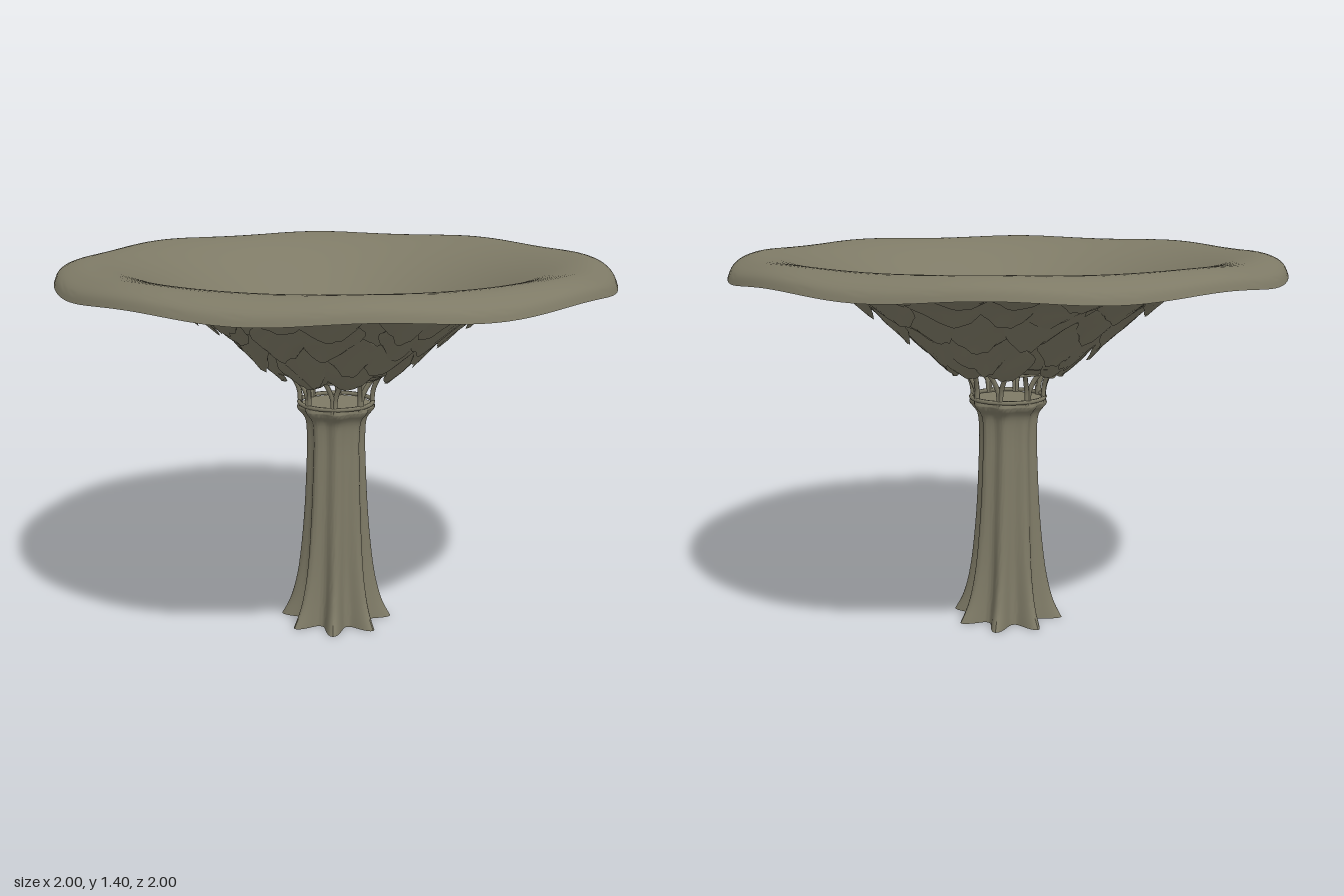
import * as THREE from 'three';
import { mergeGeometries, toCreasedNormals } from 'three/addons/utils/BufferGeometryUtils.js';

const LOBES = 8;
const PHASE = 0.245;
const lobe = (a) => Math.cos(LOBES * (a - PHASE));
const smooth = THREE.MathUtils.smoothstep;

// Small seeded generator
let seed = 7;
const rand = () => {
  seed = (seed * 16807) % 2147483647;
  return seed / 2147483647;
};

const v2 = (pairs) => pairs.map(([x, y]) => new THREE.Vector2(x, y));
const spline = (pairs, n) => new THREE.SplineCurve(v2(pairs)).getPoints(n);

// Lobed towards the middle, gently waving at the rim
function warpBowl(geo) {
  const p = geo.attributes.position;
  for (let i = 0; i < p.count; i++) {
    const x = p.getX(i), z = p.getZ(i), r = Math.hypot(x, z), a = Math.atan2(z, x);
    const k = 1 + 0.07 * lobe(a) * (1 - smooth(r, 0.22, 0.42)) * smooth(r, 0.05, 0.2);
    const wave = 0.009 * Math.sin(LOBES * a + 0.9) * smooth(r, 0.8, 1);
    p.setXYZ(i, x * k, p.getY(i) + wave, z * k);
  }
  return geo;
}

// Height of the underside at radius r
const UNDER = [[0, 0.95], [0.05, 0.95], [0.07, 0.972], [0.19, 0.975], [0.235, 1.0], [0.3, 1.055],
  [0.4, 1.14], [0.5, 1.213], [0.6, 1.28], [0.7, 1.323], [0.8, 1.343], [0.9, 1.34], [1, 1.325]];
function underY(r) {
  for (let i = 1; i < UNDER.length; i++) {
    const [r0, y0] = UNDER[i - 1], [r1, y1] = UNDER[i];
    if (r <= r1) return y0 + (y1 - y0) * (r - r0) / (r1 - r0);
  }
  return 1.325;
}

// One ragged bark scale lying on the underside, lifted at its inner end
function barkScale(r0, a0, halfR, halfA) {
  const geo = new THREE.PlaneGeometry(2, 2, 8, 6);
  const p = geo.attributes.position;
  const jag = Array.from({ length: 9 }, () => 0.25 * rand());
  const skew = (rand() - 0.5) * 0.7, lift = 0.016 + 0.014 * rand();
  for (let i = 0; i < p.count; i++) {
    const u = p.getX(i), v = p.getY(i), col = i % 9;
    const reach = v < 0 ? 1 - 0.45 * u * u + jag[col] : 1 - 0.4 * u * u;
    const w = 1 - 0.3 * v * v + 0.08 * (rand() - 0.5);
    const r = THREE.MathUtils.clamp(r0 + halfR * v * reach, 0.2, 0.96);
    const a = a0 - halfA * (u * w + skew * v);
    const h = (0.004 + lift * (0.5 - 0.5 * v) * (1 - 0.7 * u * u) + 0.004 * rand()) * (1 - 0.7 * smooth(r, 0.72, 0.96));
    const out = 0.5 * h * (1 - smooth(r, 0.5, 0.75));
    p.setXYZ(i, (r + out) * Math.cos(a), underY(r) - h, (r + out) * Math.sin(a));
  }
  geo.computeVertexNormals();
  return geo;
}

export function createModel() {
  const group = new THREE.Group();
  const bark = new THREE.MeshStandardMaterial({ color: 0x7e7a66, side: THREE.DoubleSide });
  bark.name = 'greyOliveBark';
  const add = (name, geo) => {
    const mesh = new THREE.Mesh(geo, bark);
    mesh.name = name;
    group.add(mesh);
    return mesh;
  };

  // Trunk: fluted column whose ribs spread into pointed roots; (valley, height, peak)
  const rows = new THREE.CatmullRomCurve3([
    [0.13, 0, 0.213], [0.125, 0.05, 0.186], [0.12, 0.1, 0.168], [0.112, 0.2, 0.146], [0.104, 0.4, 0.124],
    [0.097, 0.6, 0.113], [0.095, 0.74, 0.11], [0.103, 0.8, 0.117], [0.13, 0.84, 0.146], [0.128, 0.855, 0.143],
  ].map((q) => new THREE.Vector3(...q))).getPoints(36);
  rows.unshift(new THREE.Vector3(0, 0, 0));
  rows.push(new THREE.Vector3(0, 0.855, 0));
  const trunk = new THREE.LatheGeometry(rows.map((q) => new THREE.Vector2(q.x, q.y)), 128);
  const tp = trunk.attributes.position;
  for (let i = 0; i < tp.count; i++) {
    const q = rows[i % rows.length];
    const a = Math.atan2(tp.getX(i), tp.getZ(i));
    const rib = Math.pow(0.5 + 0.5 * lobe(a + 0.12 * q.y), 1.5 - 0.5 * smooth(q.y, 0, 0.5));
    const r = q.x + (q.z - q.x) * rib;
    tp.setXYZ(i, r * Math.cos(a), q.y, r * Math.sin(a));
  }
  // Swapping x and z mirrors the faces, so turn them back
  const idx = trunk.index.array;
  for (let i = 0; i < idx.length; i += 3) [idx[i], idx[i + 1]] = [idx[i + 1], idx[i]];
  add('trunk', toCreasedNormals(trunk, 0.7));

  // Open collar: two rings joined by forked struts
  for (const [name, r, y] of [['lowerRing', 0.138, 0.862], ['upperRing', 0.172, 0.97]]) {
    const ring = add(name, new THREE.TorusGeometry(r, 0.008, 6, 48));
    ring.rotation.x = Math.PI / 2;
    ring.position.y = y;
  }
  const at = (r, y, a) => new THREE.Vector3(r * Math.cos(a), y, r * Math.sin(a));
  const struts = [];
  for (let i = 0; i < LOBES; i++) {
    const a = PHASE + (i * Math.PI * 2) / LOBES;
    for (const side of [-1, 1]) {
      const path = new THREE.CatmullRomCurve3([
        at(0.135, 0.845, a + side * 0.03), at(0.137, 0.9, a + side * 0.04),
        at(0.15, 0.94, a + side * 0.12), at(0.178, 0.985, a + side * 0.22)]);
      struts.push(new THREE.TubeGeometry(path, 8, 0.009, 6));
    }
  }
  add('collarStruts', mergeGeometries(struts));

  // Bowl: smooth funnel above, closed shell below
  const funnel = spline([[1, 1.325], [0.985, 1.357], [0.95, 1.38], [0.89, 1.395], [0.8, 1.384], [0.7, 1.35],
    [0.6, 1.3], [0.5, 1.237], [0.4, 1.162], [0.3, 1.072], [0.25, 1.02], [0.21, 0.99]], 44);
  add('bowlFunnel', toCreasedNormals(warpBowl(new THREE.LatheGeometry(funnel, 128)), 0.8));
  add('bowlUnderside', toCreasedNormals(warpBowl(new THREE.LatheGeometry(v2(UNDER), 128)), 0.6));

  // Floor of the bowl, slightly domed, cut to lobes by the funnel
  const floor = warpBowl(new THREE.LatheGeometry(v2([[0.245, 1.0], [0.12, 1.006], [0, 1.01]]), 64));
  add('bowlFloor', toCreasedNormals(floor, 0.6));

  // Overlapping bark scales in rings beneath the bowl
  const scales = [];
  [[0.27, 10], [0.37, 12], [0.48, 14], [0.6, 17], [0.72, 20], [0.85, 23]].forEach(([r, n], row) => {
    for (let i = 0; i < n; i++) {
      const a = ((i + 0.5 * (row % 2) + 0.5 * rand()) / n) * Math.PI * 2;
      scales.push(barkScale(r + 0.05 * (rand() - 0.5), a, 0.075 + 0.03 * rand(), (Math.PI / n) * (0.9 + 0.4 * rand())));
    }
  });
  add('barkScales', mergeGeometries(scales));

  return group;
}
